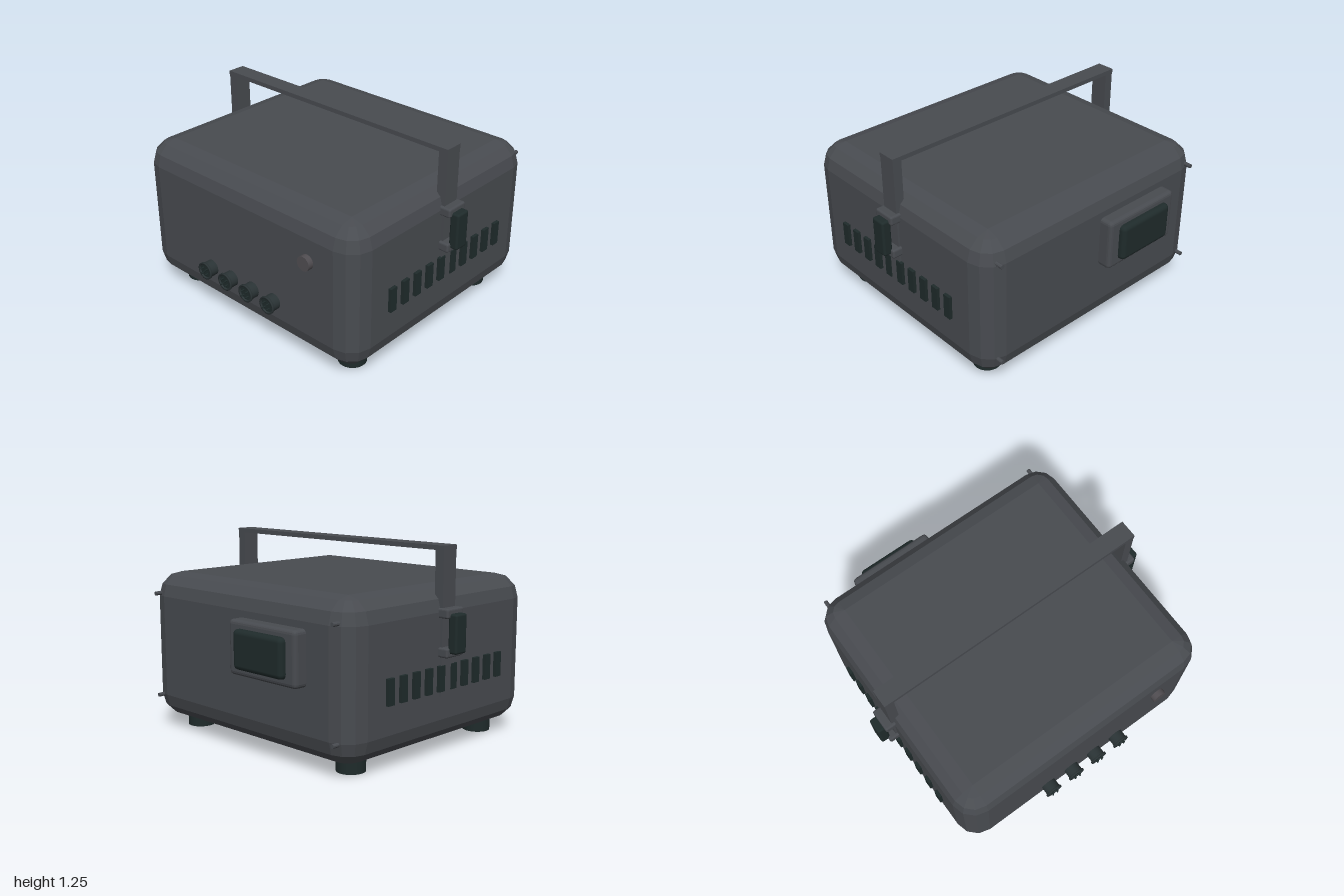
import * as THREE from 'three';
import { RoundedBoxGeometry } from 'three/addons/geometries/RoundedBoxGeometry.js';
import { ConvexGeometry } from 'three/addons/geometries/ConvexGeometry.js';

const ZC = 0.022; // depth centre of the casing

export function createModel() {
  const model = new THREE.Group();
  model.name = 'portableCase';
  const mat = (name, color, flatShading = false) => {
    const m = new THREE.MeshStandardMaterial({ color, flatShading });
    m.name = name;
    return m;
  };
  const grey = mat('caseGrey', 0x484b50, true);
  const dark = mat('darkRubber', 0x1f2b2b);
  const rimGrey = mat('connectorRim', 0x2b3436);
  const buttonGrey = mat('buttonGrey', 0x504d51);

  const add = (name, geometry, material, x, y, z, parent = model) => {
    const mesh = new THREE.Mesh(geometry, material);
    mesh.name = name;
    mesh.position.set(x, y, z);
    parent.add(mesh);
    return mesh;
  };
  const box = (w, h, d) => new THREE.BoxGeometry(w, h, d);
  const rounded = (w, h, d, r) => new RoundedBoxGeometry(w, h, d, 2, r);
  // Cylinder whose axis runs along z
  const rod = (r, length, sides) => new THREE.CylinderGeometry(r, r, length, sides).rotateX(Math.PI / 2);

  // Casing: box with three-step bevels on all edges
  const half = [0.89, 0.472, 0.82], bevel = 0.15, points = [];
  for (const sx of [-1, 1]) for (const sy of [-1, 1]) for (const sz of [-1, 1])
    for (let i = 0; i <= 3; i++) for (let j = 0; j <= (i === 3 ? 0 : 3); j++) {
      const a = i * Math.PI / 6, b = j * Math.PI / 6;
      points.push(new THREE.Vector3(
        sx * (half[0] - bevel + bevel * Math.cos(a) * Math.cos(b)),
        sy * (half[1] - bevel + bevel * Math.sin(a)),
        sz * (half[2] - bevel + bevel * Math.cos(a) * Math.sin(b))));
    }
  add('casing', new ConvexGeometry(points), grey, 0, 0.547, ZC);

  // Feet
  for (const x of [-0.685, 0.685]) for (const z of [-0.565, 0.615])
    add('foot', new THREE.CylinderGeometry(0.087, 0.087, 0.09, 24), dark, x, 0.045, z);

  // Carrying handle
  add('handleBar', box(1.81, 0.028, 0.118), grey, 0, 1.238, ZC);
  for (const s of [-1, 1]) {
    add('handleLeg', box(0.06, 0.86, 0.115), grey, s * 0.873, 0.8, ZC);

    // Side grip on two brackets
    for (const y of [0.635, 0.865])
      add('gripBracket', rounded(0.085, 0.058, 0.15, 0.012), grey, s * 0.912, y, ZC);
    add('sideGrip', rounded(0.062, 0.235, 0.1, 0.014), dark, s * 0.969, 0.747, ZC);

    // Ventilation slots
    for (let i = 0; i < 10; i++)
      add('ventSlot', box(0.03, 0.155, 0.052), dark, s * 0.895, 0.478, ZC + (i - 4.5) * 0.111);

    // Rear screws
    for (const y of [0.22, 0.885])
      add('rearScrew', rod(0.013, 0.07, 10), grey, s * 0.793, y, -0.79);
  }

  // Front connectors: barrel with a raised rim, recessed face and pins
  const rimProfile = [[0.05, -0.02], [0.05, 0.056], [0.057, 0.056], [0.057, 0.069], [0.045, 0.069], [0.045, 0.05]]
    .map(p => new THREE.Vector2(p[0], p[1]));
  const rimGeometry = new THREE.LatheGeometry(rimProfile, 24).rotateX(Math.PI / 2);
  for (let i = 0; i < 4; i++) {
    const connector = new THREE.Group();
    connector.name = 'connector';
    connector.position.set(-0.003 + (i - 1.5) * 0.182, 0.335, 0.84);
    model.add(connector);
    add('connectorRim', rimGeometry, rimGrey, 0, 0, 0, connector);
    add('connectorFace', rod(0.046, 0.07, 24), dark, 0, 0, 0.025, connector);
    for (let k = 0; k < 4; k++) {
      const a = Math.PI / 4 + k * Math.PI / 2;
      add('connectorPin', rod(0.005, 0.03, 8), dark, 0.024 * Math.cos(a), 0.024 * Math.sin(a), 0.068, connector);
    }
  }

  // Front push button
  add('frontButton', rod(0.046, 0.06, 24), buttonGrey, 0.547, 0.724, 0.847);

  // Rear socket housing with its dark cover
  add('rearHousing', rounded(0.565, 0.328, 0.14, 0.025), grey, -0.285, 0.664, -0.812);
  add('rearCover', rounded(0.414, 0.238, 0.1, 0.03), dark, -0.286, 0.664, -0.872);

  return model;
}
